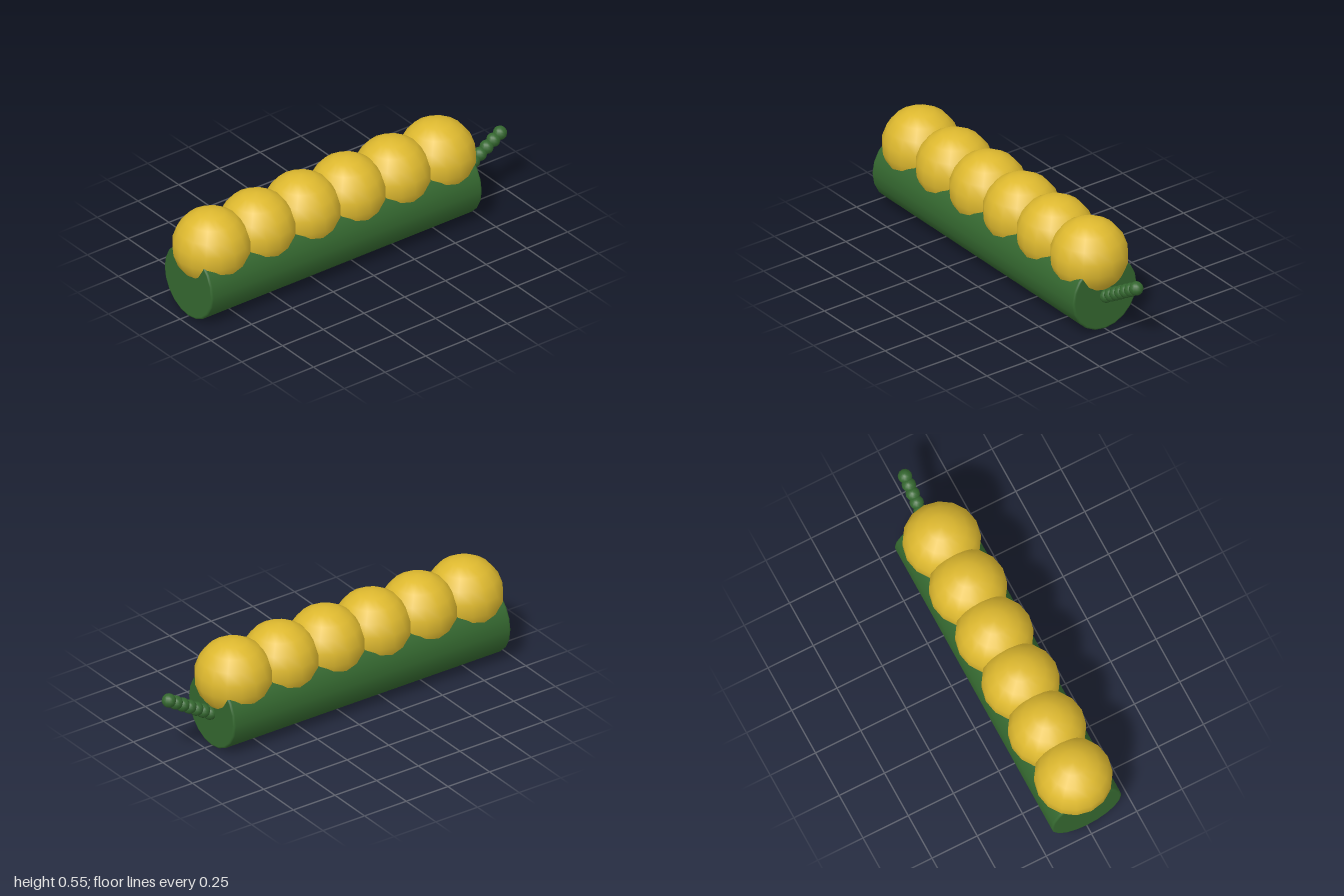
import * as THREE from 'three';

export function createModel() {
  const model = new THREE.Group();
  const green = new THREE.MeshStandardMaterial({ color: 0x34672f });
  green.name = 'leafGreen';
  const yellow = new THREE.MeshStandardMaterial({ color: 0xdeb92f });
  yellow.name = 'cornYellow';

  const add = (name, geometry, material, x, y) => {
    const mesh = new THREE.Mesh(geometry, material);
    mesh.name = name;
    mesh.position.set(x, y, 0);
    model.add(mesh);
    return mesh;
  };

  // Lying log with slightly eased rims; paired points keep the caps flat
  const half = 0.831, r = 0.193, b = 0.008;
  const rim = [[r - b - 0.003, half], [r - b, half], [r - b * 0.3, half - b * 0.3], [r, half - b], [r, half - b - 0.004]];
  const profile = [
    [0, -half], ...rim.map(([x, y]) => [x, -y]),
    ...[...rim].reverse(), [0, half],
  ].map(([x, y]) => new THREE.Vector2(x, y));
  const husk = add('husk', new THREE.LatheGeometry(profile, 20), green, -0.121, 0.195);
  husk.rotation.z = -Math.PI / 2;

  // Row of big kernels sunk into the log
  const kernel = new THREE.SphereGeometry(0.195, 16, 9);
  for (let i = 0; i < 6; i++) add('kernel' + (i + 1), kernel, yellow, -0.808 + i * 0.277, 0.36);

  // Rising stem of overlapping beads
  const bead = new THREE.SphereGeometry(0.036, 12, 8);
  for (let i = 0; i < 7; i++) add('stemBead' + (i + 1), bead, green, 0.718 + i * 0.041, 0.19 + i * 0.025);

  return model;
}
